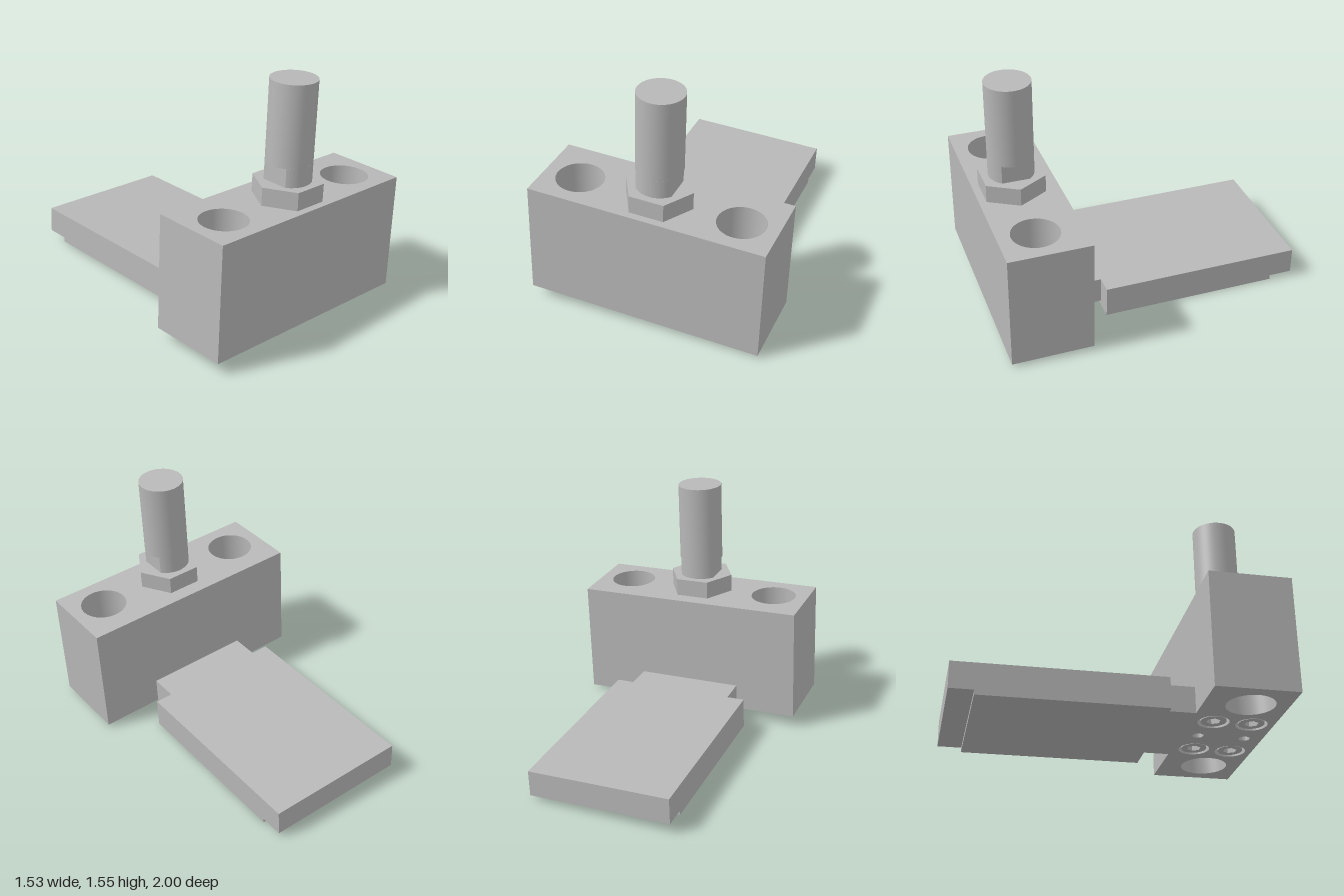
import * as THREE from 'three';
import { toCreasedNormals } from 'three/addons/utils/BufferGeometryUtils.js';

const STUD_Z = 0.765;

export function createModel() {
  const steel = new THREE.MeshStandardMaterial({ color: 0xb8b8b8 });
  steel.name = 'steel grey';

  const model = new THREE.Group();
  model.name = 'clampAssembly';
  // The whole assembly leans slightly about z, pivoting on the block centre
  const body = new THREE.Group();
  body.name = 'tiltedBody';
  body.position.y = 0.427;
  body.rotation.z = -0.04;
  model.add(body);

  function add(name, geometry, x = 0, y = 0, z = 0) {
    const mesh = new THREE.Mesh(geometry, steel);
    mesh.name = name;
    mesh.position.set(x, y, z);
    body.add(mesh);
    return mesh;
  }

  // Plan outline (x, z) extruded upward from y = 0
  function prism(shape, height) {
    const g = new THREE.ExtrudeGeometry(shape, { depth: height, bevelEnabled: false, curveSegments: 32 });
    g.rotateX(Math.PI / 2).translate(0, height, 0);
    return toCreasedNormals(g, 0.6);
  }

  function circle(x, z, r) {
    return new THREE.Path().absarc(x, z, r, 0, Math.PI * 2, true);
  }

  function polygon(sides, r) {
    const points = [];
    for (let i = 0; i < sides; i++) {
      const a = (i / sides) * Math.PI * 2;
      points.push(new THREE.Vector2(r * Math.cos(a), r * Math.sin(a)));
    }
    return points;
  }

  function blockOutline(holes) {
    const s = new THREE.Shape([
      new THREE.Vector2(-0.753, 0.48), new THREE.Vector2(0.753, 0.48),
      new THREE.Vector2(0.753, 1), new THREE.Vector2(-0.753, 1),
    ]);
    s.holes = holes;
    return s;
  }

  // Block: two through bores, plus screw and pin holes in the lower layer
  const bores = () => [-0.522, 0.522].map((x) => circle(x, STUD_Z, 0.15));
  const screws = [];
  for (const x of [-0.23, 0.23]) for (const z of [0.62, 0.86]) screws.push([x, z]);
  const lowerHoles = [
    ...bores(),
    ...screws.map(([x, z]) => circle(x, z, 0.098)),
    circle(0, 0.585, 0.035), circle(0, 0.885, 0.035),
  ];
  add('blockUpper', prism(blockOutline(bores()), 0.63), 0, -0.255);
  add('blockLower', prism(blockOutline(lowerHoles), 0.12), 0, -0.375);

  // Socket head screws in the underside
  const head = new THREE.Shape().absarc(0, 0, 0.08, 0, Math.PI * 2);
  head.holes.push(new THREE.Path(polygon(6, 0.045).reverse()));
  const headGeometry = prism(head, 0.1);
  for (const [x, z] of screws) add('socketScrew', headGeometry, x, -0.37, z);

  // Hex nut and stud with two wrench flats
  add('hexNut', prism(new THREE.Shape(polygon(6, 0.2175)), 0.115), 0, 0.375, STUD_Z);
  const r = 0.144;
  const phi = Math.acos(0.115 / r);
  const flats = new THREE.Shape();
  flats.absarc(0, 0, r, phi, Math.PI - phi);
  flats.absarc(0, 0, r, Math.PI + phi, Math.PI * 2 - phi);
  flats.closePath();
  add('studFlats', prism(flats, 0.12), 0, 0.49, STUD_Z);
  add('studShaft', new THREE.CylinderGeometry(r, r, 0.512, 48), 0, 0.864, STUD_Z);

  // Neck joining block and tongue
  add('neck', new THREE.BoxGeometry(0.696, 0.17, 0.18), 0, -0.29, 0.39);

  // Tongue plate: side profile (z, y) with a raised lip under the rear end
  const profile = new THREE.Shape([
    [0.3, -0.405], [0.3, -0.205], [-1, -0.205], [-1, -0.375], [-0.85, -0.375], [-0.85, -0.405],
  ].map(([z, y]) => new THREE.Vector2(z, y)));
  const tongue = new THREE.ExtrudeGeometry(profile, { depth: 0.926, bevelEnabled: false });
  tongue.rotateY(-Math.PI / 2).translate(0.463, 0, 0);
  add('tonguePlate', tongue);

  return model;
}
